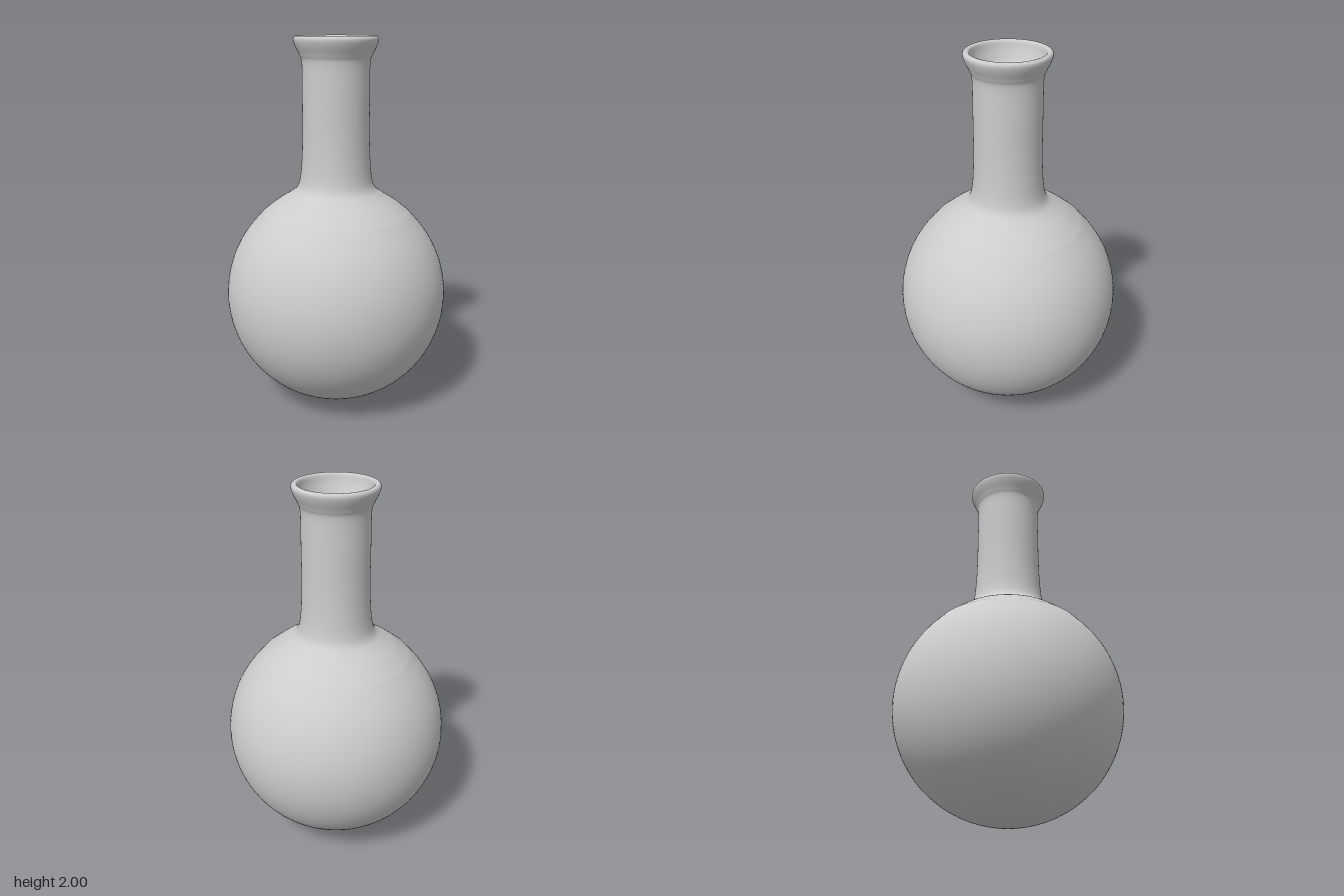
import * as THREE from 'three';

const CENTRE_Y = 0.607;

// Points of a circular arc around the bulb centre, angles in degrees from the horizontal
function arc(radius, from, to, steps) {
  return Array.from({ length: steps + 1 }, (_, i) => {
    const a = THREE.MathUtils.degToRad(from + ((to - from) * i) / steps);
    return new THREE.Vector2(Math.max(0, radius * Math.cos(a)), CENTRE_Y + radius * Math.sin(a));
  });
}

// Smooth run through a few [radius, height] points
function smooth(points, divisions) {
  return new THREE.SplineCurve(points.map(([r, y]) => new THREE.Vector2(r, y))).getPoints(divisions);
}

export function createModel() {
  const group = new THREE.Group();
  group.name = 'roundFlask';

  // Outer shoulder, neck and flared lip, then back down inside the neck
  const neck = smooth([
    [0.405, 1.063], [0.33, 1.122], [0.255, 1.17], [0.213, 1.205], [0.194, 1.26],
    [0.184, 1.36], [0.179, 1.5], [0.178, 1.7], [0.178, 1.86], [0.19, 1.905],
    [0.209, 1.945], [0.219, 1.972], [0.22, 1.989], [0.212, 1.999], [0.2, 2.0],
    [0.189, 1.992], [0.18, 1.955], [0.163, 1.91], [0.143, 1.86], [0.141, 1.7],
    [0.141, 1.5], [0.146, 1.36], [0.157, 1.25], [0.18, 1.175], [0.24, 1.132],
    [0.31, 1.085],
  ], 150);

  // One continuous glass wall: outer bulb, neck, inner bulb
  const profile = [
    ...arc(0.606, -90, 43, 44),
    ...neck,
    ...arc(0.568, 51, -90, 44),
  ];
  const wall = new THREE.Mesh(
    new THREE.LatheGeometry(profile, 96),
    new THREE.MeshStandardMaterial({ color: 0xcccccc }),
  );
  wall.name = 'flaskWall';
  group.add(wall);
  return group;
}
